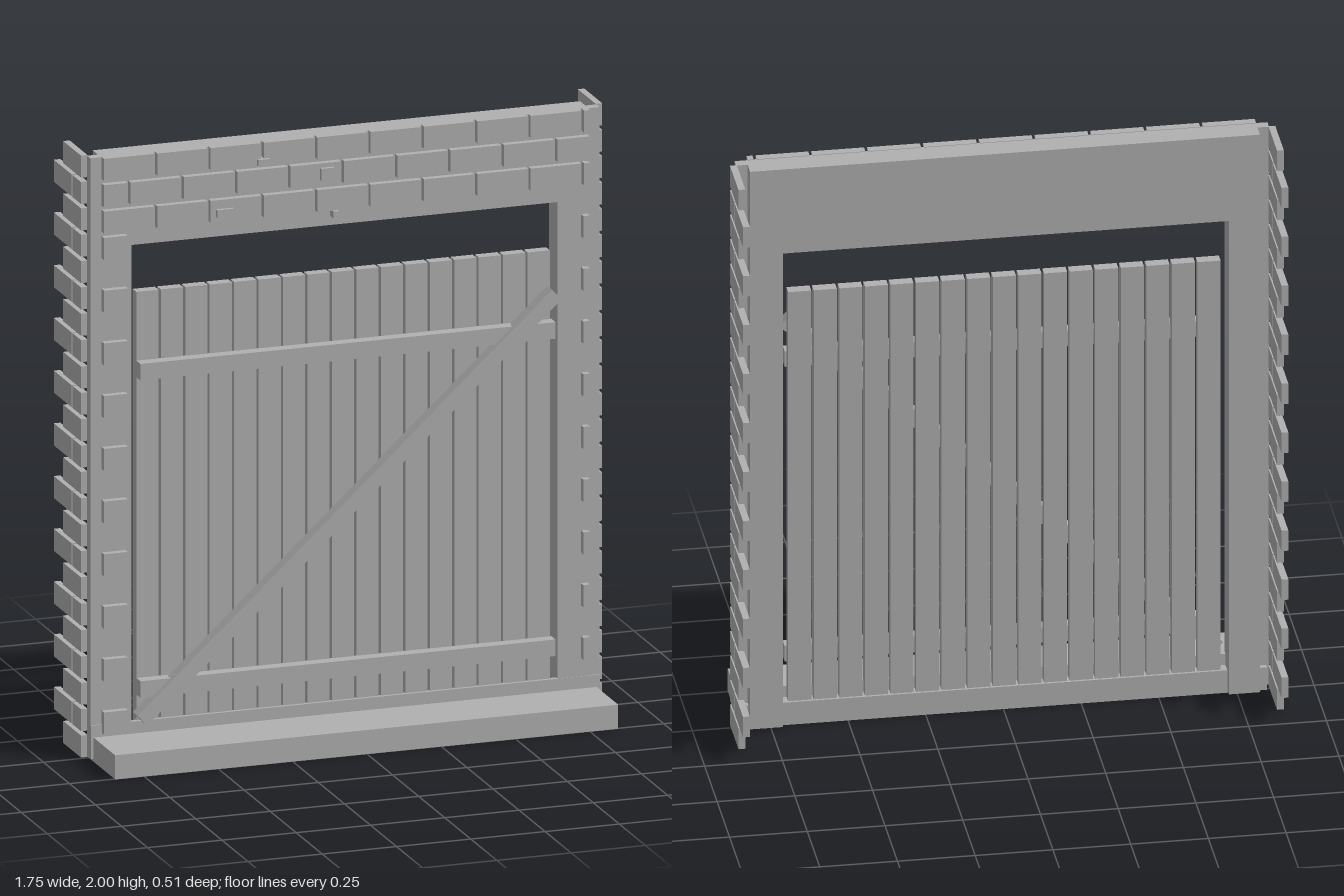
import * as THREE from 'three';

export function createModel() {
  const root = new THREE.Group();
  root.name = 'brickGateway';
  const grey = new THREE.MeshStandardMaterial({ color: 0xb0b0b0 });
  grey.name = 'plain grey';

  const group = (name) => {
    const g = new THREE.Group();
    g.name = name;
    root.add(g);
    return g;
  };
  // Box given by its minimum and maximum on each axis
  const box = (parent, name, x0, x1, y0, y1, z0, z1) => {
    const m = new THREE.Mesh(new THREE.BoxGeometry(x1 - x0, y1 - y0, z1 - z0), grey);
    m.position.set((x0 + x1) / 2, (y0 + y1) / 2, (z0 + z1) / 2);
    m.name = name;
    parent.add(m);
    return m;
  };

  // Wall with the doorway cut out
  const wall = new THREE.Shape();
  [[-0.82, 0.01], [-0.72, 0.01], [-0.72, 1.7], [0.715, 1.7], [0.715, 0.01],
    [0.82, 0.01], [0.82, 2], [-0.82, 2]].forEach(([x, y], i) => (i ? wall.lineTo(x, y) : wall.moveTo(x, y)));
  const wallGeometry = new THREE.ExtrudeGeometry(wall, { depth: 0.085, bevelEnabled: false });
  wallGeometry.translate(0, 0, -0.04);
  const wallMesh = new THREE.Mesh(wallGeometry, grey);
  wallMesh.name = 'doorFrame';
  root.add(wallMesh);

  // Edge strips, sill and front step
  for (const s of [-1, 1]) {
    const strip = box(root, 'edgeStrip', 0.82, 0.857, 0.01, 2, 0.01, 0.042);
    strip.position.x *= s;
  }
  box(root, 'sill', -0.857, 0.857, 0.01, 0.12, 0.03, 0.047);
  box(root, 'step', -0.848, 0.845, 0, 0.08, -0.008, 0.255);

  // Brick courses share one spacing
  const brickHeight = 0.073;
  const courseY = (k) => 0.006 + k * 0.0874;

  // Side bricks: one short brick, then a half and a long brick
  const sides = group('sideBricks');
  for (const s of [-1, 1]) {
    for (let k = 0; k < 23; k++) {
      const y = courseY(k);
      const spans = k % 2 ? [[-0.07, 0.01], [-0.252, -0.08]] : [[-0.162, 0.01]];
      for (const [z0, z1] of spans) {
        const b = box(sides, 'sideBrick', 0.855, 0.877, y, y + brickHeight, z0, z1);
        b.position.x *= s;
      }
    }
  }

  // Bricks up the door jambs
  const jambs = group('jambBricks');
  for (let k = 1; k < 20; k++) {
    const y = courseY(k);
    if (k % 2) box(jambs, 'leftEdgeBrick', -0.82, -0.74, y, y + brickHeight, 0.04, 0.068);
    else box(jambs, 'rightEdgeBrick', 0.793, 0.815, y, y + brickHeight, 0.04, 0.068);
  }

  // Three staggered courses over the door
  const lintel = group('lintelBricks');
  for (let k = 20; k < 23; k++) {
    const y = courseY(k);
    for (let x = k % 2 ? -0.91 : -0.82; x < 0.81; x += 0.1795) {
      box(lintel, 'lintelBrick', Math.max(x, -0.82), Math.min(x + 0.17, 0.815),
        y, y + brickHeight, 0.04, 0.068);
    }
  }
  // Small raised chips on the brickwork
  for (const [x, y, w, h] of [[-0.285, 1.94, 0.04, 0.02], [-0.07, 1.88, 0.046, 0.04],
    [-0.415, 1.785, 0.056, 0.025], [-0.042, 1.743, 0.02, 0.022]]) {
    box(lintel, 'brickChip', x - w / 2, x + w / 2, y - h / 2, y + h / 2, 0.04, 0.08);
  }

  // Plank door with two battens and a diagonal brace
  const door = group('door');
  for (let i = 0; i < 17; i++) {
    const x = -0.7 + i * 0.0823;
    box(door, 'plank', x, x + 0.0745, 0.02, 1.54, 0, 0.036);
  }
  box(door, 'lowerBatten', -0.7, 0.697, 0.205, 0.26, 0.034, 0.075);
  box(door, 'upperBatten', -0.7, 0.697, 1.257, 1.312, 0.034, 0.075);
  const brace = box(door, 'diagonalBrace', -0.945, 0.945, -0.024, 0.024, 0.05, 0.095);
  brace.position.set(-0.003, 0.772, 0.0725);
  brace.rotation.z = Math.atan2(1.275, 1.395);

  return root;
}
